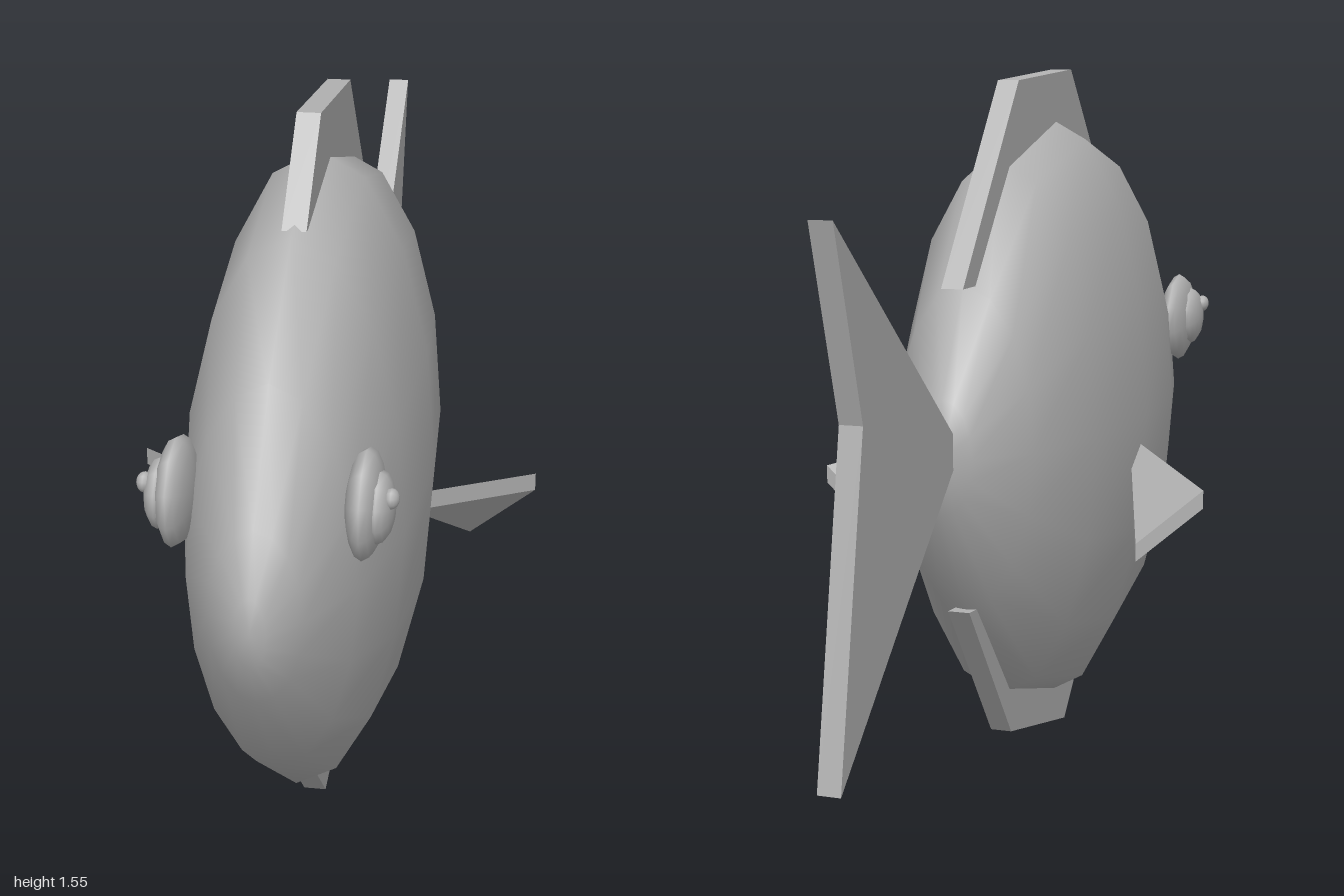
import * as THREE from 'three';

const grey = new THREE.MeshStandardMaterial({ color: 0xb2b2b2 });
grey.name = 'grey';

function add(parent, geometry, name) {
  const mesh = new THREE.Mesh(geometry, grey);
  mesh.name = name;
  parent.add(mesh);
  return mesh;
}

// Smooth body lofted through elliptical rings: [z, centre y, half width, half height]
function bodyGeometry() {
  const rings = [
    [1.0, 0.77, 0.03, 0.07], [0.95, 0.775, 0.09, 0.175], [0.79, 0.765, 0.165, 0.405],
    [0.55, 0.767, 0.222, 0.603], [0.24, 0.767, 0.245, 0.683], [-0.08, 0.767, 0.222, 0.593],
    [-0.3, 0.767, 0.155, 0.345], [-0.425, 0.77, 0.065, 0.12],
  ];
  const sides = 16, pos = [], index = [];
  for (const [z, cy, w, h] of rings) {
    for (let j = 0; j < sides; j++) {
      const t = (j / sides) * Math.PI * 2;
      pos.push(w * Math.sin(t), cy + h * Math.cos(t), z);
    }
  }
  const last = (rings.length - 1) * sides;
  const nose = pos.length / 3, rump = nose + 1;
  pos.push(0, 0.77, 1.0, 0, 0.77, -0.425);
  for (let j = 0; j < sides; j++) {
    const k = (j + 1) % sides;
    for (let i = 0; i < last; i += sides) {
      index.push(i + j, i + k, i + sides + j, i + k, i + sides + k, i + sides + j);
    }
    index.push(nose, k, j, rump, last + j, last + k);
  }
  const g = new THREE.BufferGeometry();
  g.setAttribute('position', new THREE.Float32BufferAttribute(pos, 3));
  g.setIndex(index);
  g.computeVertexNormals();
  return g;
}

// Flat upright fin from a [z, y] outline, centred on x = 0
function finGeometry(points) {
  const depth = 0.048;
  const shape = new THREE.Shape(points.map(([z, y]) => new THREE.Vector2(z, y)));
  return new THREE.ExtrudeGeometry(shape, { depth, bevelEnabled: false })
    .rotateY(-Math.PI / 2).translate(depth / 2, 0, 0);
}

// Triangular side fin, a thin prism with vertical thickness
function sideFinGeometry(side) {
  const top = [[0.2, 0.716, 0.26], [0.445, 0.655, -0.015], [0.3, 0.53, -0.035]]
    .map(([x, y, z]) => [x * side, y, z]);
  if (side < 0) top.reverse();
  const low = top.map(([x, y, z]) => [x, y - 0.04, z]);
  const pos = [...top, low[0], low[2], low[1]];
  for (let i = 0; i < 3; i++) {
    const k = (i + 1) % 3;
    pos.push(top[i], low[i], top[k], top[k], low[i], low[k]);
  }
  const g = new THREE.BufferGeometry();
  g.setAttribute('position', new THREE.Float32BufferAttribute(pos.flat(), 3));
  g.computeVertexNormals();
  return g;
}

// Ten-sided squashed ball with its poles along x
function ball(radius, halfWidth) {
  return new THREE.SphereGeometry(radius, 10, 8)
    .rotateZ(Math.PI / 2).scale(halfWidth / radius, 1, 1);
}

export function createModel() {
  const fish = new THREE.Group();
  fish.name = 'fish';
  add(fish, bodyGeometry(), 'body');

  // Fins along the middle
  add(fish, finGeometry([[0.52, 1.37], [0.35, 1.555], [-0.02, 1.53], [-0.365, 1.11],
    [-0.25, 1.11], [-0.08, 1.28], [0.24, 1.36]]), 'dorsalFin');
  add(fish, finGeometry([[0.46, 0.14], [0.32, 0], [-0.07, 0.085], [-0.335, 0.425],
    [-0.25, 0.42], [-0.06, 0.25], [0.24, 0.18]]), 'bellyFin');
  add(fish, finGeometry([[-0.38, 0.785], [-1, 1.29], [-0.88, 0.91], [-1, 0.245]]), 'tailFin');

  // Mirrored side fins and eyes
  for (const side of [1, -1]) {
    const label = side > 0 ? 'left' : 'right';
    add(fish, sideFinGeometry(side), label + 'SideFin');
    const eye = new THREE.Group();
    eye.name = label + 'Eye';
    add(eye, ball(0.108, 0.037), 'eyeball').position.set(side * 0.178, 0.938, 0.778);
    add(eye, ball(0.07, 0.03), 'iris').position.set(side * 0.205, 0.94, 0.793);
    add(eye, ball(0.02, 0.015), 'pupil').position.set(side * 0.23, 0.97, 0.817);
    fish.add(eye);
  }
  return fish;
}
